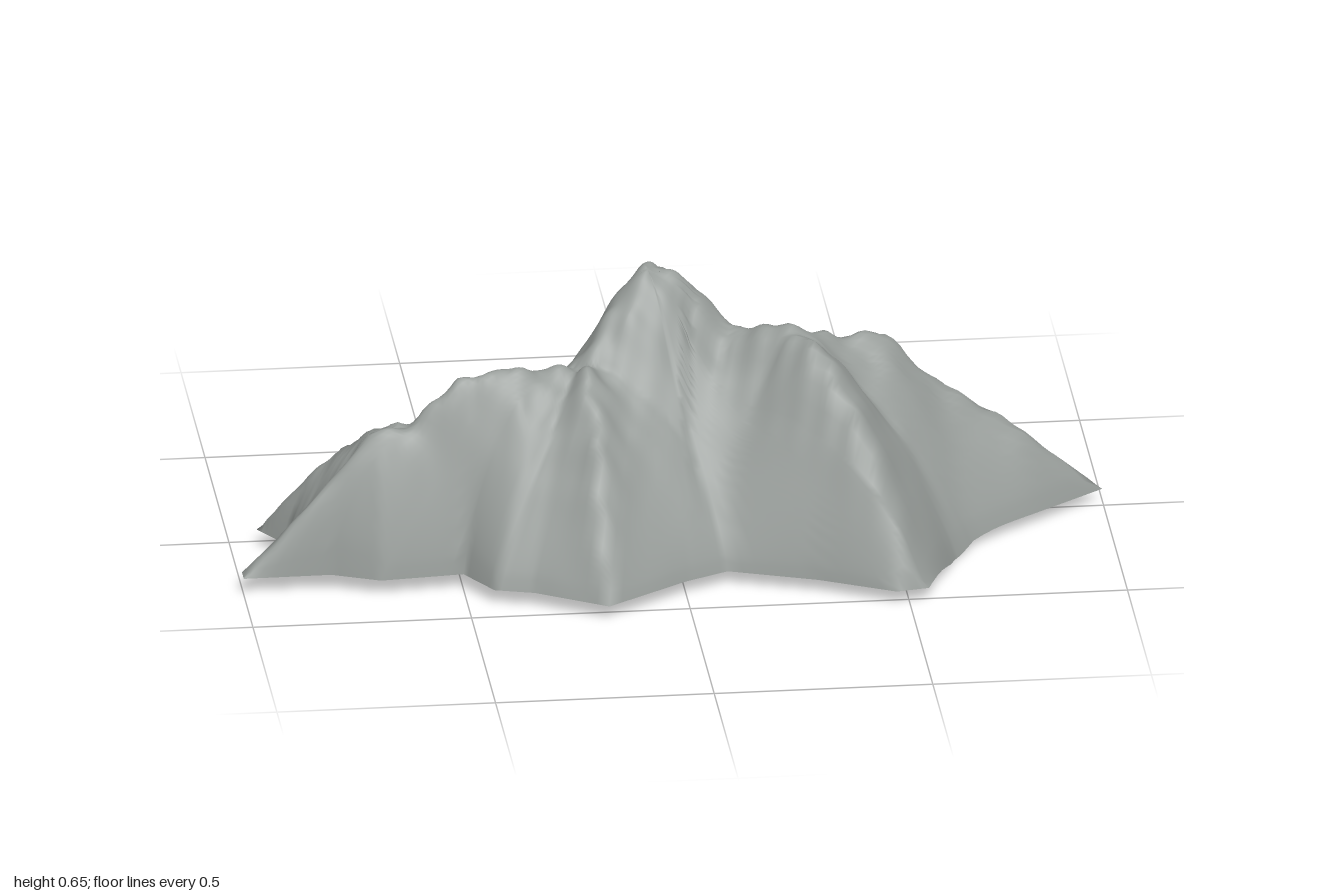
import * as THREE from 'three';

// Ground outline as x, z pairs, running from the +x tip round the back
const OUTLINE = [
  [1, -.03], [.8, -.11], [.67, -.13], [.57, -.11], [.32, -.2], [.26, -.27], [.26, -.33],
  [.15, -.46], [.1, -.49], [.06, -.45], [.02, -.56], [-.06, -.51], [-.15, -.44], [-.15, -.35],
  [-.25, -.33], [-.28, -.31], [-.28, -.235], [-.34, -.12], [-.43, -.05], [-.765, -.02], [-.94, .025],
  [-.88, .12], [-1, .27], [-1, .31], [-.8, .305], [-.69, .35], [-.5, .33], [-.44, .43], [-.35, .455],
  [-.19, .55], [0, .42], [.1, .37], [.3, .44], [.47, .525], [.545, .51], [.63, .28], [.68, .21], [.83, .1],
];
const BORDER = [...OUTLINE, OUTLINE[0]];

// Main ridge from tip to tip over the summit, as x, z, height
const RIDGE = [
  [-1, .29, .04], [-.85, .27, .19], [-.7, .235, .35], [-.6, .22, .375], [-.5, .2, .46],
  [-.37, .19, .475], [-.22, .15, .46], [-.05, .02, .655], [.05, .01, .605], [.14, .05, .495],
  [.28, .12, .525], [.38, .06, .465], [.49, .02, .47], [.62, 0, .32], [.81, 0, .2], [1, -.03, .025],
];
const SADDLE = [[-.05, .02, .655], [.02, -.08, .59], [.03, -.15, .51], [.03, -.24, .49]];

// Spur crest curving down from a high point to a corner of the outline
function spur(x, z, h, footX, footZ, power = 1.6) {
  return Array.from({ length: 9 }, (_, i) => {
    const u = i / 8;
    return [x + (footX - x) * u, z + (footZ - z) * u, .035 + (h - .035) * (1 - u ** power)];
  });
}

const CRESTS = [
  RIDGE,
  SADDLE,
  // front spurs
  spur(-.2, .18, .47, -.19, .55),
  spur(.29, .15, .525, .52, .52, 1.7),
  // back spur and its shoulders
  spur(.03, -.24, .49, .02, -.56, 1.4),
  spur(.03, -.22, .48, .12, -.48),
  spur(.03, -.15, .5, .26, -.31),
  spur(.02, -.22, .48, -.15, -.44),
  spur(0, -.08, .56, -.28, -.31),
  // small spurs at the two ends
  spur(-.6, .22, .37, -.94, .025),
  spur(.47, .03, .46, .63, -.12),
];

// Nearest point on a polyline: distance and interpolated height
function nearest(line, x, z) {
  let best = { d: Infinity, h: 0 };
  for (let i = 0; i + 1 < line.length; i++) {
    const [ax, az, ah = 0] = line[i], [bx, bz, bh = 0] = line[i + 1];
    const dx = bx - ax, dz = bz - az;
    const u = THREE.MathUtils.clamp(((x - ax) * dx + (z - az) * dz) / (dx * dx + dz * dz), 0, 1);
    const d = Math.hypot(x - ax - u * dx, z - az - u * dz);
    if (d < best.d) best = { d, h: ah + u * (bh - ah) };
  }
  return best;
}

// Slightly uneven ground line with a low corner at the front
const baseHeight = (x, z) =>
  .033 - .006 * x - .03 * Math.exp(-((x - .63) ** 2 + (z - .28) ** 2) / .01);

// Small rocky bumps
const bumps = (x, z) =>
  Math.sin(31 * x + 9 * z) * Math.sin(27 * z - 8 * x) * .008 +
  Math.sin(67 * x - 23 * z + 1) * Math.sin(59 * z + 19 * x) * .008;

// Height falls from the rounded crests down to the border
function height(x, z) {
  const base = baseHeight(x, z), edge = nearest(BORDER, x, z).d;
  let sum = 0, total = 0, dist = Infinity;
  for (const crest of CRESTS) {
    const { d, h } = nearest(crest, x, z);
    const w = 1 / (d * d + 1e-4) ** 1.5;
    sum += w * h;
    total += w;
    dist = Math.min(dist, Math.hypot(d, .025) - .025);
  }
  const t = edge / (edge + dist);
  const top = Math.max(sum / total, base);
  return base + (top - base) * t ** .8 + bumps(x, z) * Math.min(1, edge / .1) * t ** 3;
}

// Rings of points growing from the summit out to the outline
function mountainGeometry(split = 6, rings = 60) {
  const cx = -.045, cz = .03, rim = [];
  OUTLINE.forEach(([x, z], i) => {
    const [nx, nz] = BORDER[i + 1];
    for (let k = 0; k < split; k++) rim.push([x + (nx - x) * k / split, z + (nz - z) * k / split]);
  });
  const n = rim.length, pos = [cx, height(cx, cz), cz], index = [];
  for (let r = 1; r <= rings; r++) {
    const s = r / rings, a = 1 + (r - 1) * n;
    rim.forEach(([x, z], i) => {
      const px = cx + (x - cx) * s, pz = cz + (z - cz) * s, j = (i + 1) % n;
      pos.push(px, r === rings ? baseHeight(px, pz) : height(px, pz), pz);
      if (r === 1) index.push(0, a + i, a + j);
      else index.push(a - n + i, a + i, a + j, a - n + i, a + j, a - n + j);
    });
  }
  const geometry = new THREE.BufferGeometry();
  geometry.setAttribute('position', new THREE.Float32BufferAttribute(pos, 3));
  geometry.setIndex(index);
  geometry.computeVertexNormals();
  return geometry;
}

export function createModel() {
  const group = new THREE.Group();
  group.name = 'mountain';
  // Open shell, hollow underneath
  const slopes = new THREE.Mesh(
    mountainGeometry(),
    new THREE.MeshStandardMaterial({ color: 0x989d9a, side: THREE.DoubleSide }),
  );
  slopes.name = 'mountainSlopes';
  group.add(slopes);
  return group;
}
